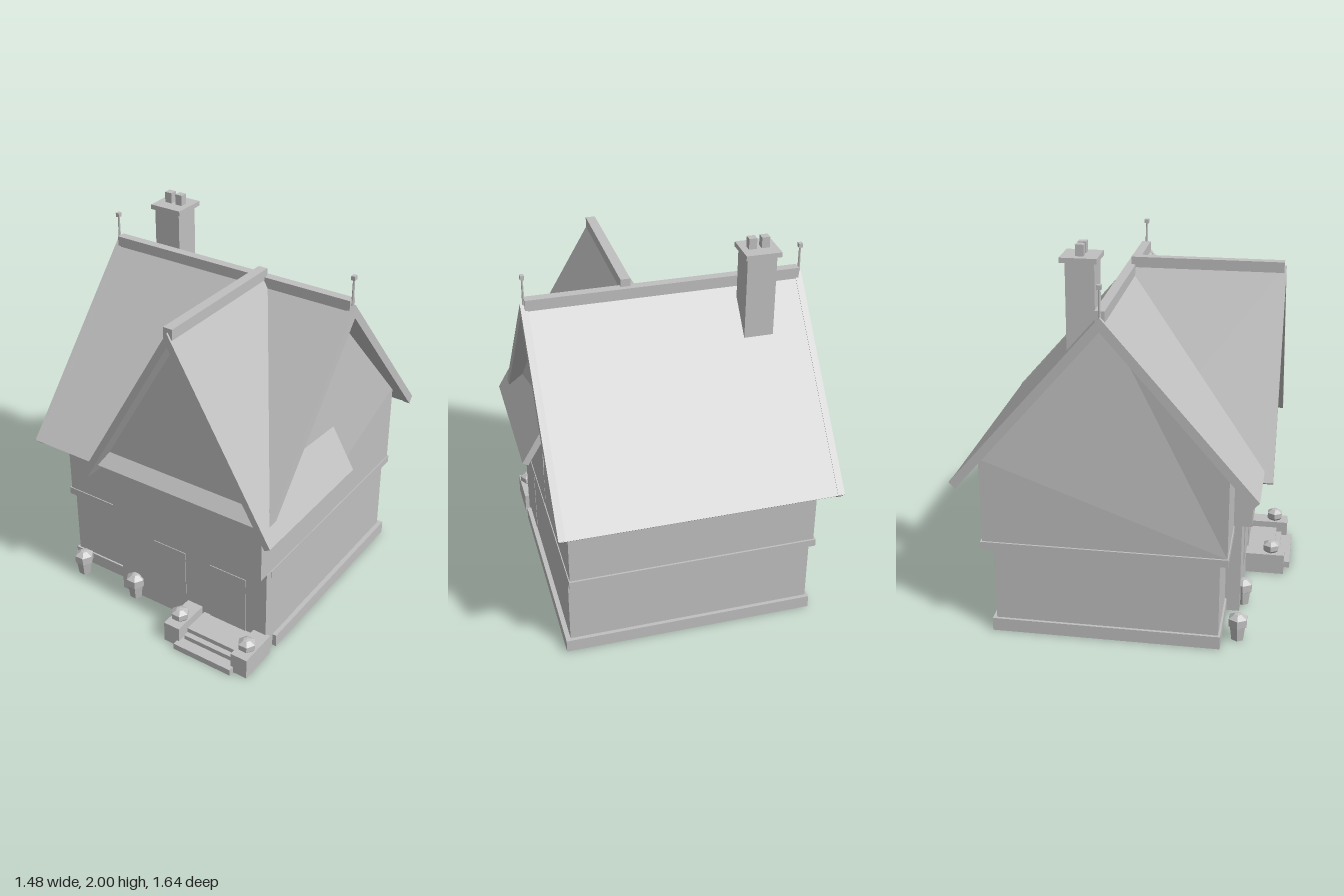
import * as THREE from 'three';

const plaster = new THREE.MeshStandardMaterial({ color: 0xc0c0c0, flatShading: true });
plaster.name = 'pale grey';

export function createModel() {
  const house = new THREE.Group();
  house.name = 'cottage';

  const add = (name, geometry) => {
    const mesh = new THREE.Mesh(geometry, plaster);
    mesh.name = name;
    house.add(mesh);
    return mesh;
  };
  // Box given by its limits on each axis
  const box = (name, x0, x1, y0, y1, z0, z1) => {
    const g = new THREE.BoxGeometry(x1 - x0, y1 - y0, z1 - z0);
    g.translate((x0 + x1) / 2, (y0 + y1) / 2, (z0 + z1) / 2);
    return add(name, g);
  };
  const extrude = (points, depth) => new THREE.ExtrudeGeometry(
    new THREE.Shape(points.map(p => new THREE.Vector2(p[0], p[1]))),
    { depth, bevelEnabled: false });

  // Chevron-shaped roof section: half span, eave height, slope, vertical thickness
  const chevron = (half, eave, slope, thick, lift = 0) => {
    const top = eave + half * slope;
    const inX = half - 0.03;
    const inY = top - thick - inX * slope;
    return [[0, top + lift], [-half, eave + lift], [-inX, inY - lift], [0, top - thick - lift],
      [inX, inY - lift], [half, eave + lift]];
  };
  const ridgeZ = -0.07, gableX = 0.173;

  // Lower storey
  box('plinth', -0.67, 0.655, 0, 0.07, -0.66, 0.51);
  box('lowerWalls', -0.655, 0.63, 0, 0.47, -0.64, 0.5);
  box('storeyBand', -0.66, 0.635, 0.46, 0.5, -0.71, 0.54);
  box('bayLowerWall', -0.285, 0.632, 0, 0.5, 0.3, 0.578);

  // Upper storey with side gables leaning slightly inward at the top
  const walls = extrude([[-0.535, 0.5], [0.7, 0.5], [0.7, 0.95], [-ridgeZ, 1.675], [-0.535, 0.98]], 1.28);
  walls.rotateY(Math.PI / 2);
  walls.translate(-0.65, 0, 0);
  const pos = walls.attributes.position;
  for (let i = 0; i < pos.count; i++) {
    if (pos.getY(i) > 1.5) pos.setX(i, pos.getX(i) > 0 ? 0.57 : -0.59);
  }
  walls.computeVertexNormals();
  add('upperWalls', walls);

  // Projecting front bay with its gable
  const bay = extrude([[-0.458, 0.5], [0.458, 0.5], [0.458, 0.92], [0, 1.705], [-0.458, 0.92]], 0.7);
  bay.translate(gableX, 0, -0.07);
  add('bayUpperWall', bay);

  // Main roof and its raised verges
  const roofX = (name, x, depth, lift) => {
    const g = extrude(chevron(0.755, 0.853, 1.15, 0.06, lift), depth);
    g.rotateY(Math.PI / 2);
    g.translate(x, 0, ridgeZ);
    add(name, g);
  };
  roofX('mainRoof', -0.735, 1.425, 0);
  roofX('rightVerge', -0.74, 0.035, 0.004);
  roofX('leftVerge', 0.66, 0.035, 0.004);
  box('mainRidge', -0.72, 0.675, 1.69, 1.75, -0.095, -0.047);

  // Cross roof over the bay
  const cross = extrude(chevron(0.565, 0.803, 1.71, 0.07), 0.8);
  cross.translate(gableX, 0, ridgeZ);
  add('crossRoof', cross);
  box('crossRidge', gableX - 0.025, gableX + 0.025, 1.735, 1.79, -0.07, 0.72);

  // Chimney
  box('chimneyShaft', -0.53, -0.38, 1.35, 1.93, -0.27, -0.13);
  box('chimneyCap', -0.545, -0.365, 1.92, 1.945, -0.295, -0.115);
  for (const x of [-0.485, -0.42]) box('chimneyPot', x - 0.02, x + 0.02, 1.94, 2, -0.225, -0.185);

  // Ridge finials
  for (const x of [-0.727, 0.677]) {
    const pole = new THREE.CylinderGeometry(0.005, 0.007, 0.15, 6);
    pole.translate(x, 1.785, ridgeZ);
    add('finialPole', pole);
    box('finialKnob', x - 0.01, x + 0.01, 1.853, 1.875, ridgeZ - 0.012, ridgeZ + 0.012);
  }

  // Window and door plates
  box('window', -0.06, 0.14, 0.155, 0.42, 0.576, 0.582);
  box('door', 0.295, 0.51, 0.05, 0.415, 0.576, 0.582);

  // Steps between two piers
  box('lowerStep', 0.23, 0.575, 0, 0.035, 0.57, 0.82);
  box('upperStep', 0.255, 0.55, 0.03, 0.06, 0.57, 0.76);
  box('threshold', 0.255, 0.55, 0.055, 0.085, 0.57, 0.73);
  box('rightPier', 0.15, 0.243, 0, 0.115, 0.57, 0.79);
  box('leftPier', 0.56, 0.655, 0, 0.115, 0.57, 0.79);

  // Six-sided urns and planters
  const turned = (name, x, y, z, profile) => {
    const g = new THREE.LatheGeometry(profile.map(p => new THREE.Vector2(p[0], p[1])), 6);
    g.rotateY(Math.PI / 6);
    g.translate(x, y, z);
    add(name, g);
  };
  for (const x of [0.198, 0.608]) {
    turned('pierUrn', x, 0.115, 0.715,
      [[0, 0], [0.032, 0], [0.047, 0.015], [0.047, 0.045], [0.02, 0.062], [0, 0.065]]);
  }
  for (const x of [-0.55, -0.19]) {
    turned('planter', x, 0, 0.59,
      [[0, 0], [0.034, 0], [0.044, 0.075], [0.052, 0.08], [0.052, 0.122], [0.02, 0.143], [0, 0.146]]);
  }
  return house;
}
